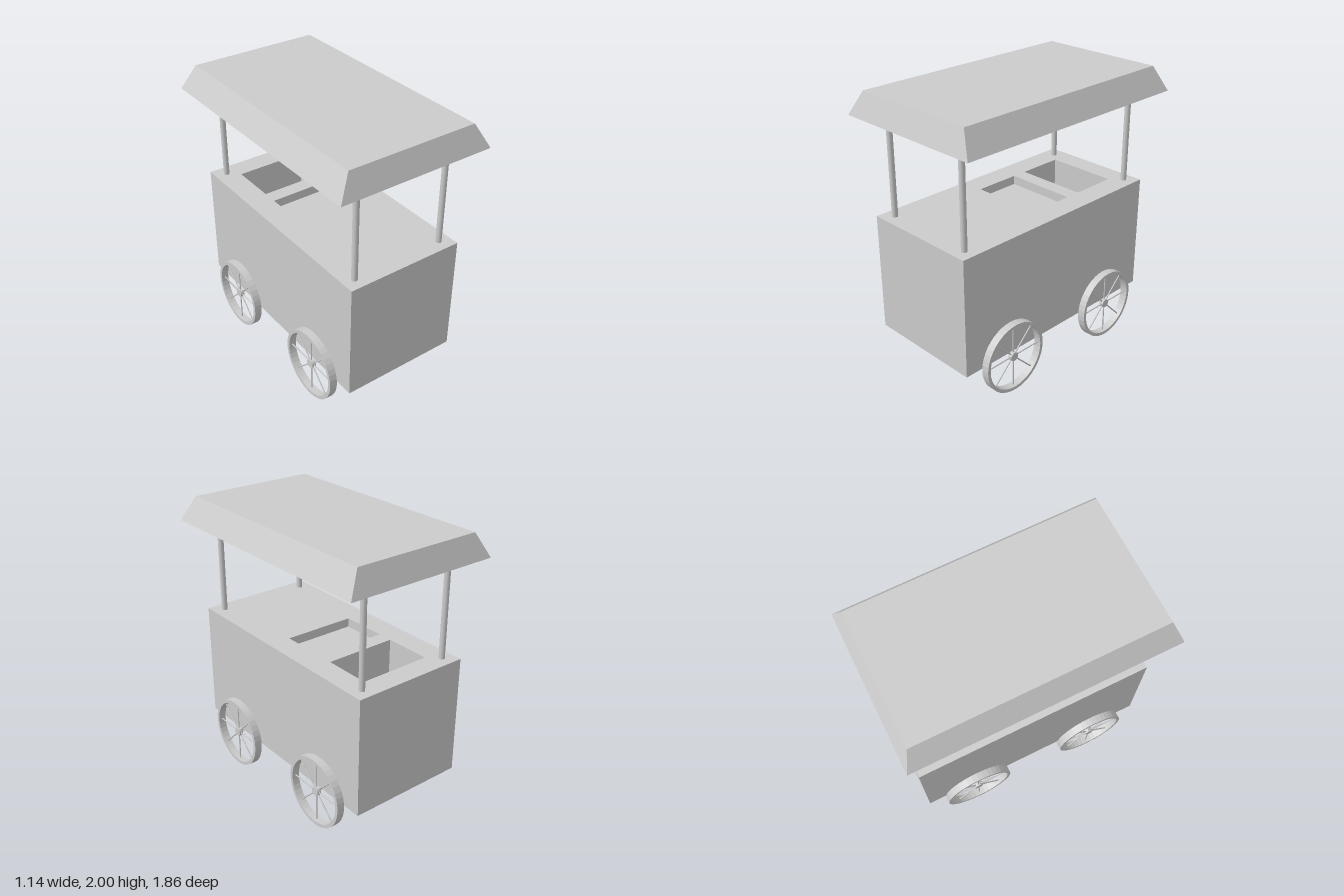
import * as THREE from 'three';

const grey = new THREE.MeshStandardMaterial({ color: 0xcccccc });
const greyInside = new THREE.MeshStandardMaterial({ color: 0xcccccc, side: THREE.BackSide });
const greyDouble = new THREE.MeshStandardMaterial({ color: 0xcccccc, side: THREE.DoubleSide });

const BODY = { w: 0.87, d: 1.74, bottom: 0.27, top: 1.135 };
const WELLS = [
  { name: 'shallowWell', z: -0.09, depth: 0.065 },
  { name: 'deepWell', z: -0.54, depth: 0.4 },
];
const WELL_W = 0.53, WELL_D = 0.34;

function add(parent, name, geometry, x = 0, y = 0, z = 0, material = grey) {
  const mesh = new THREE.Mesh(geometry, material);
  mesh.name = name;
  mesh.position.set(x, y, z);
  parent.add(mesh);
  return mesh;
}

// Box with one face left out (2 = top, 3 = bottom)
function openBox(w, h, d, missingFace) {
  const geo = new THREE.BoxGeometry(w, h, d);
  const index = Array.from(geo.index.array);
  index.splice(missingFace * 6, 6);
  geo.setIndex(index);
  geo.clearGroups();
  return geo;
}

function rectangle(Type, w, d, cy = 0) {
  return new Type([
    new THREE.Vector2(-w / 2, cy - d / 2), new THREE.Vector2(w / 2, cy - d / 2),
    new THREE.Vector2(w / 2, cy + d / 2), new THREE.Vector2(-w / 2, cy + d / 2),
  ]);
}

// Cabinet with a counter and two sunken wells
function createBody() {
  const body = new THREE.Group();
  body.name = 'body';
  const h = BODY.top - BODY.bottom;
  add(body, 'cabinet', openBox(BODY.w, h, BODY.d, 2), 0, BODY.bottom + h / 2, 0);

  const counter = rectangle(THREE.Shape, BODY.w, BODY.d);
  for (const well of WELLS) {
    counter.holes.push(rectangle(THREE.Path, WELL_W, WELL_D, -well.z));
    add(body, well.name, openBox(WELL_W, well.depth, WELL_D, 2),
      0, BODY.top - well.depth / 2, well.z, greyInside);
  }
  add(body, 'counter', new THREE.ShapeGeometry(counter).rotateX(-Math.PI / 2), 0, BODY.top, 0);
  return body;
}

// Hollow canopy, flaring out towards its open underside
function createCanopy() {
  const geo = openBox(0.95, 0.17, 1.74, 3);
  const p = geo.attributes.position;
  for (let i = 0; i < p.count; i++) {
    if (p.getY(i) < 0) {
      p.setX(i, Math.sign(p.getX(i)) * 0.57);
      p.setZ(i, Math.sign(p.getZ(i)) * 0.932);
    }
  }
  geo.computeVertexNormals();
  return geo;
}

// Spoked wheel lying in the yz plane, centred on its hub
function createWheel() {
  const wheel = new THREE.Group();
  wheel.name = 'wheel';
  const width = 0.056, outer = 0.26, inner = 0.236;
  const ring = new THREE.Shape().absarc(0, 0, outer, 0, Math.PI * 2, false);
  ring.holes.push(new THREE.Path().absarc(0, 0, inner, 0, Math.PI * 2, true));
  const rim = new THREE.ExtrudeGeometry(ring, { depth: width, bevelEnabled: false, curveSegments: 20 });
  add(wheel, 'rim', rim.translate(0, 0, -width / 2).rotateY(Math.PI / 2));
  add(wheel, 'hub', new THREE.CylinderGeometry(0.032, 0.032, 0.03, 24).rotateZ(Math.PI / 2));
  for (let i = 0; i < 8; i++) {
    const spoke = new THREE.CylinderGeometry(0.005, 0.005, 0.22, 8).translate(0, 0.13, 0);
    add(wheel, 'spoke', spoke).rotation.x = i * Math.PI / 4;
  }
  return wheel;
}

export function createModel() {
  const cart = new THREE.Group();
  cart.name = 'cart';
  cart.add(createBody());
  add(cart, 'canopy', createCanopy(), 0, 1.915, 0, greyDouble);

  // Corner posts, running up to the canopy ceiling
  const postHeight = 1.998 - BODY.top;
  for (const x of [-0.347, 0.347]) {
    for (const z of [-0.783, 0.783]) {
      add(cart, 'post', new THREE.CylinderGeometry(0.021, 0.021, postHeight, 20),
        x, BODY.top + postHeight / 2, z);
    }
  }

  // Two axles, each with a pair of wheels
  for (const z of [-0.478, 0.478]) {
    add(cart, 'axle', new THREE.CylinderGeometry(0.008, 0.008, 0.94, 12).rotateZ(Math.PI / 2), 0, 0.26, z);
    for (const x of [-0.468, 0.468]) {
      const wheel = createWheel();
      wheel.position.set(x, 0.26, z);
      cart.add(wheel);
    }
  }
  return cart;
}
